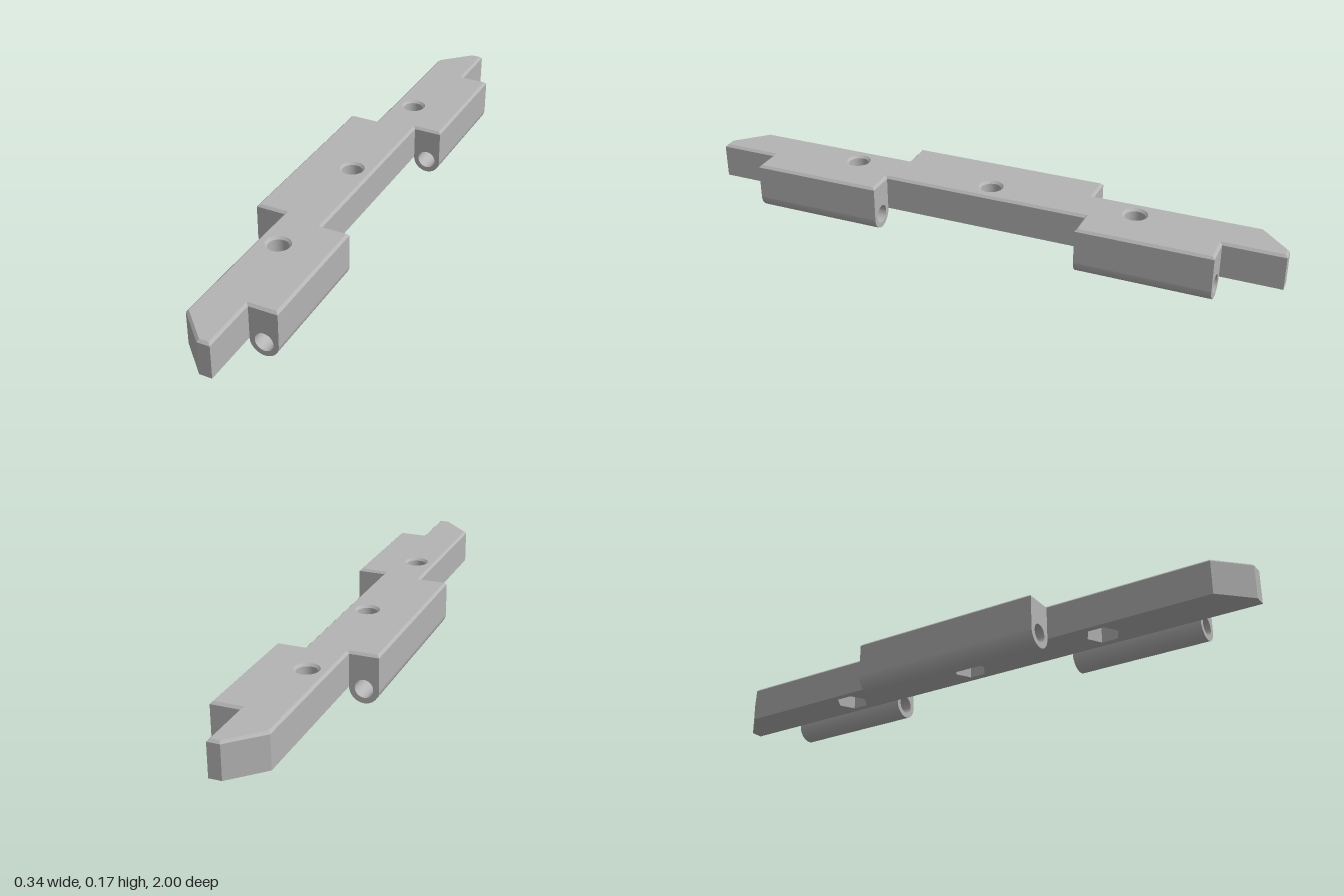
import * as THREE from 'three';

const TOP = 0.17, EDGE = 0.162, BASE = 0.05, POCKET = 0.12, CHAMFER = 0.008;
const BOLT_R = 0.034, MOUTH_R = 0.042, HEX_R = 0.055, PIN_R = 0.031;
const BOLT_Z = [-0.5, 0, 0.5];

const V = (x, y) => new THREE.Vector2(x, y);
const ring = (n, r, z) => Array.from({ length: n }, (_, i) => {
  const a = Math.PI / 2 + (i / n) * Math.PI * 2;
  return V(r * Math.cos(a), z + r * Math.sin(a));
});

// Flat horizontal face from (x, z) points, facing up or down
function plan(points, holes, y, up) {
  const s = up ? -1 : 1;
  const flip = (list) => list.map((p) => V(p.x, s * p.y));
  const shape = new THREE.Shape(flip(points));
  shape.holes = holes.map((h) => new THREE.Path(flip(h)));
  return new THREE.ShapeGeometry(shape).rotateX(s * Math.PI / 2).translate(0, y, 0);
}

// Flat-shaded quads between a lower and an upper closed line of (x, z) points
function band(low, yLow, high, yHigh, keep = () => true) {
  const pos = [];
  low.forEach((a, i) => {
    const j = (i + 1) % low.length, b = low[j], c = high[j], d = high[i];
    if (!keep(a, b)) return;
    pos.push(a.x, yLow, a.y, b.x, yLow, b.y, c.x, yHigh, c.y);
    pos.push(a.x, yLow, a.y, c.x, yHigh, c.y, d.x, yHigh, d.y);
  });
  const g = new THREE.BufferGeometry();
  g.setAttribute('position', new THREE.Float32BufferAttribute(pos, 3));
  g.computeVertexNormals();
  return g;
}

// Outline moved inwards by d with mitred corners
function inset(points, d) {
  const n = points.length;
  return points.map((p, i) => {
    const e = p.clone().sub(points[(i + n - 1) % n]).normalize();
    const f = points[(i + 1) % n].clone().sub(p).normalize();
    const n1 = V(e.y, -e.x), n2 = V(f.y, -f.x);
    return p.clone().add(n1.clone().add(n2).multiplyScalar(d / (1 + n1.dot(n2))));
  });
}

export function createModel() {
  const group = new THREE.Group();
  const grey = new THREE.MeshStandardMaterial({ color: 0xb4b4b4, side: THREE.DoubleSide });
  grey.name = 'plain grey';
  const add = (name, geometry) => {
    const mesh = new THREE.Mesh(geometry, grey);
    mesh.name = name;
    group.add(mesh);
  };

  // Plan of the bar with its three hinge lugs, and of the bar alone
  const outline = [
    [-0.07, 0.9], [0.03, 1], [0.072, 1], [0.072, 0.8], [0.168, 0.8], [0.168, 0.353], [0.072, 0.353],
    [0.072, -0.353], [0.168, -0.353], [0.168, -0.8], [0.072, -0.8], [0.072, -1], [0.03, -1],
    [-0.07, -0.9], [-0.07, -0.338], [-0.17, -0.338], [-0.17, 0.338], [-0.07, 0.338],
  ].map(([x, z]) => V(x, z));
  const bar = outline.filter((p) => Math.abs(p.x) < 0.1);
  const deck = inset(outline, CHAMFER);

  // Top, chamfer, bar walls and underside
  add('topDeck', plan(deck, BOLT_Z.map((z) => ring(32, MOUTH_R, z)), TOP, true));
  add('topChamfer', band(outline, EDGE, deck, TOP));
  add('barWalls', band(outline, BASE, outline, EDGE,
    (a, b) => Math.abs(a.x) < 0.1 && Math.abs(b.x) < 0.1));
  add('underside', plan(bar, BOLT_Z.map((z) => ring(6, HEX_R, z)), BASE, false));

  // Bolt holes, countersunk above, with hexagonal nut pockets below
  for (const z of BOLT_Z) {
    const hex = ring(6, HEX_R, z).reverse();
    hex.reverse();
    const inward = [...hex].map((p) => p.clone());
    add('nutPocket', band(inward, BASE, inward, POCKET));
    add('nutSeat', plan(hex, [ring(32, BOLT_R, z)], POCKET, false));
    add('countersink', new THREE.LatheGeometry([V(MOUTH_R, TOP), V(BOLT_R, EDGE)], 32).translate(0, 0, z));
    add('boltHole', new THREE.LatheGeometry([V(BOLT_R, EDGE), V(BOLT_R, POCKET)], 32).translate(0, 0, z));
  }

  // Hinge lugs: rounded knuckle, bore, outer wall and both end faces
  function lug(side, r, z0, z1) {
    const cx = 0.12 * side, length = z1 - z0, mid = (z0 + z1) / 2;
    const tube = (radius, start, sweep) =>
      new THREE.CylinderGeometry(radius, radius, length, 40, 1, true, start, sweep)
        .rotateX(Math.PI / 2).translate(cx, BASE, mid);
    add('knuckle', tube(r, -Math.PI / 2, Math.PI));
    add('pinBore', tube(PIN_R, 0, Math.PI * 2));
    add('lugOuterWall', new THREE.PlaneGeometry(length, EDGE - BASE)
      .rotateY(side * Math.PI / 2)
      .translate(cx + side * r, (EDGE + BASE) / 2, mid));

    const face = new THREE.Shape();
    face.moveTo(r, EDGE);
    face.lineTo(-r, EDGE);
    face.lineTo(-r, BASE);
    face.absarc(0, BASE, r, Math.PI, Math.PI * 2, false);
    face.closePath();
    face.holes.push(new THREE.Path().absarc(0, BASE, PIN_R, 0, Math.PI * 2, true));
    const end = () => new THREE.ShapeGeometry(face, 20);
    add('lugFrontFace', end().translate(cx, 0, z1));
    add('lugBackFace', end().rotateY(Math.PI).translate(cx, 0, z0));
  }
  lug(1, 0.048, 0.353, 0.8);
  lug(1, 0.048, -0.8, -0.353);
  lug(-1, 0.05, -0.338, 0.338);

  return group;
}
